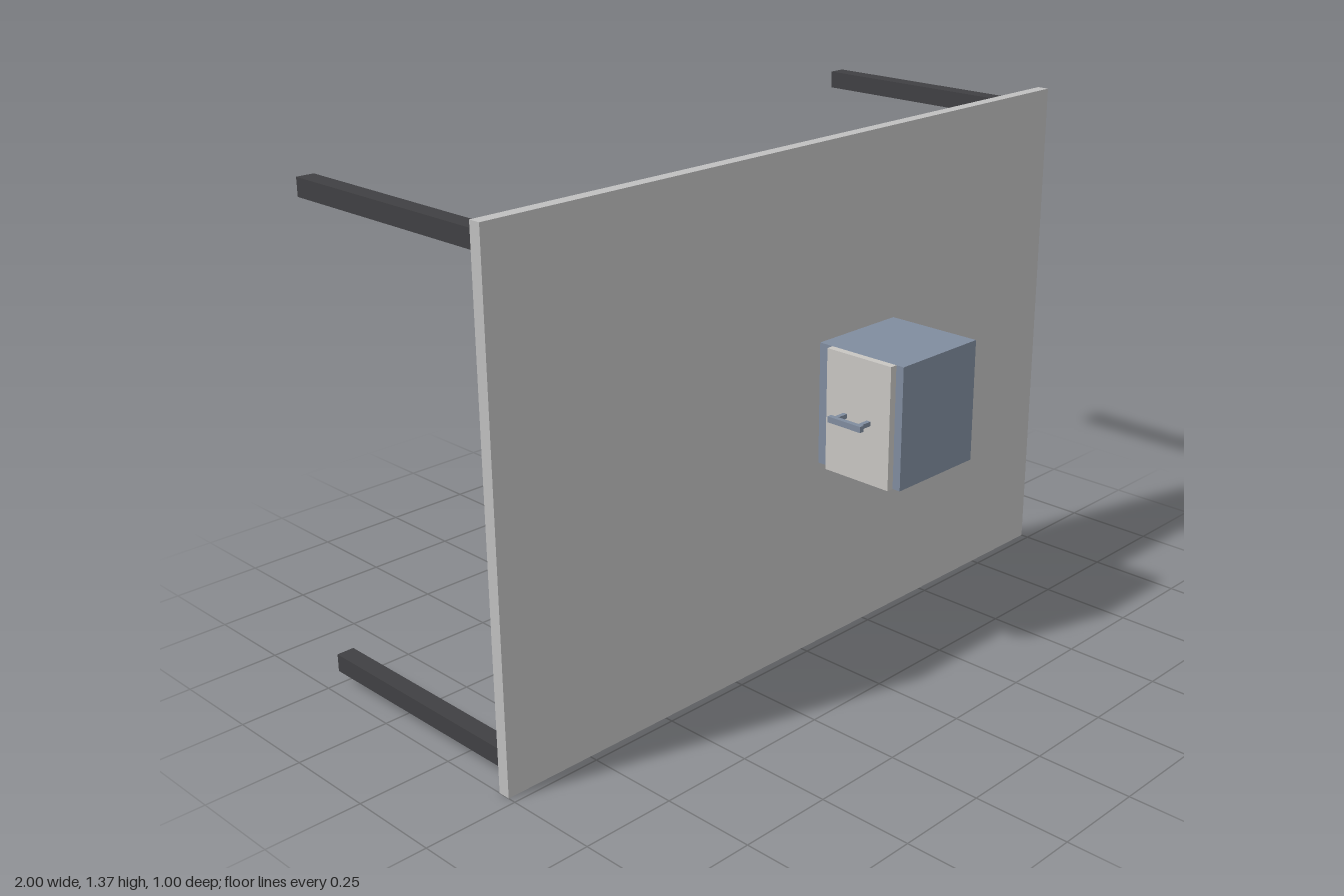
import * as THREE from 'three';

const material = (name, color) => {
  const m = new THREE.MeshStandardMaterial({ color });
  m.name = name;
  return m;
};

export function createModel() {
  const model = new THREE.Group();
  const boardGrey = material('board grey', 0xbfbfbf);
  const legBlack = material('leg charcoal', 0x404043);
  const boxBlue = material('slate blue', 0x808c9e);
  const doorGrey = material('door light grey', 0xc8c6c2);

  // Box given by its lower and upper corners
  const block = (name, mat, [x0, y0, z0], [x1, y1, z1], parent = model) => {
    const mesh = new THREE.Mesh(new THREE.BoxGeometry(x1 - x0, y1 - y0, z1 - z0), mat);
    mesh.position.set((x0 + x1) / 2, (y0 + y1) / 2, (z0 + z1) / 2);
    mesh.name = name;
    parent.add(mesh);
  };

  // Upright board
  block('board', boardGrey, [-1, 0, 0.195], [1, 1.367, 0.228]);

  // Four legs pointing backwards
  for (const x of [-0.941, 0.941]) {
    for (const y of [0.06, 1.31]) {
      block('leg', legBlack, [x - 0.024, y - 0.024, -0.5], [x + 0.024, y + 0.024, 0.195]);
    }
  }

  // Cabinet passing through the board
  block('cabinet', boxBlue, [0.058, 0.521, 0.083], [0.348, 0.85, 0.5]);

  // Door on the cabinet's side
  block('door', doorGrey, [0.038, 0.521, 0.27], [0.058, 0.85, 0.477]);

  // Door handle: two posts and a grip
  const handle = new THREE.Group();
  handle.name = 'handle';
  model.add(handle);
  for (const z of [0.333, 0.41]) {
    block('handlePost', boxBlue, [0, 0.679, z - 0.006], [0.038, 0.691, z + 0.006], handle);
  }
  block('handleGrip', boxBlue, [-0.012, 0.677, 0.318], [0.002, 0.693, 0.425], handle);

  return model;
}
